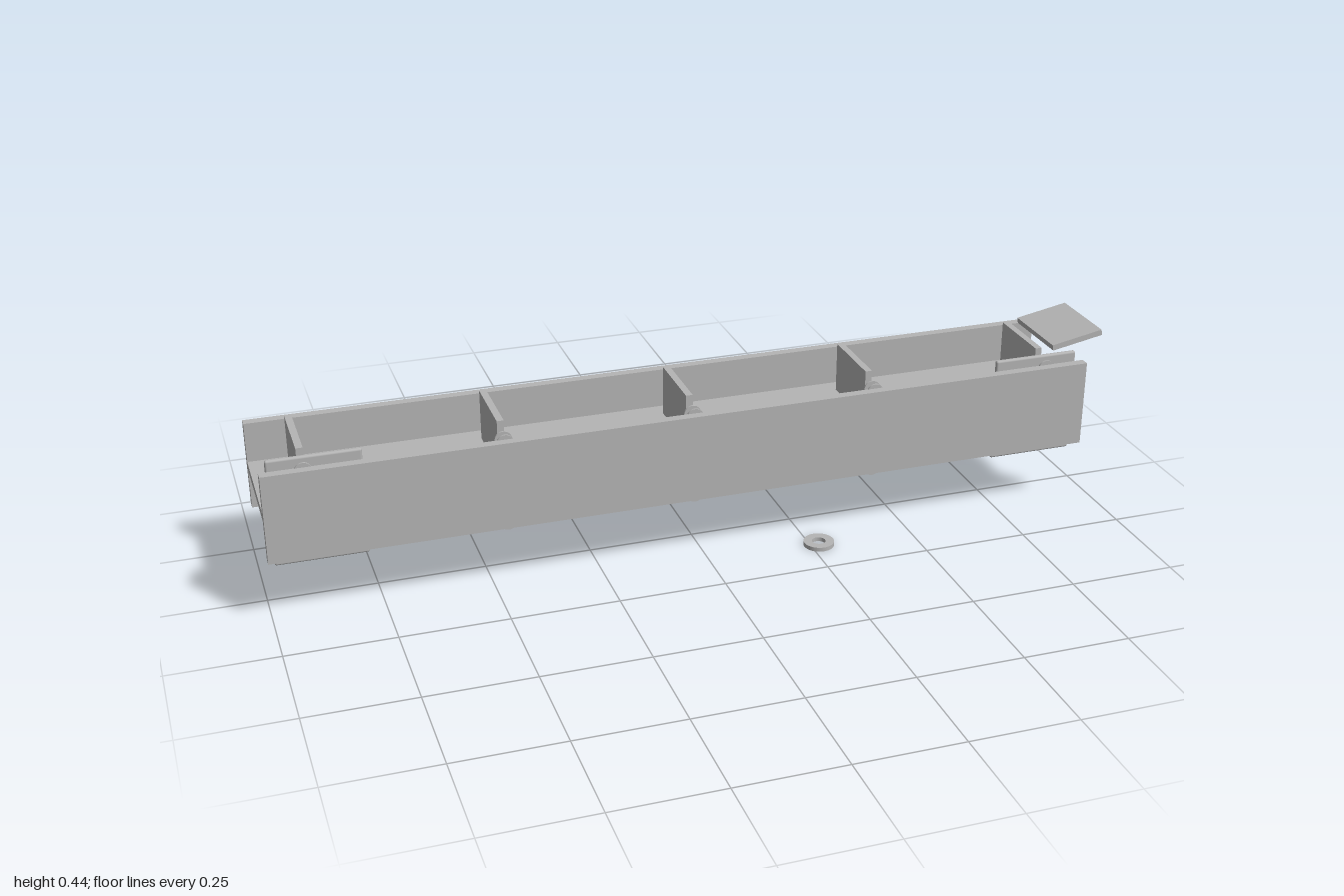
import * as THREE from 'three';
import { RoundedBoxGeometry } from 'three/addons/geometries/RoundedBoxGeometry.js';

export function createModel() {
  const model = new THREE.Group();
  model.name = 'steelBeam';
  const steel = new THREE.MeshStandardMaterial({ color: 0xb4b4b4 });
  steel.name = 'grey steel';

  const add = (name, geometry, x, y, z) => {
    const mesh = new THREE.Mesh(geometry, steel);
    mesh.name = name;
    mesh.position.set(x, y, z);
    model.add(mesh);
    return mesh;
  };
  const box = (name, w, h, d, x, y, z) => add(name, new THREE.BoxGeometry(w, h, d), x, y, z);

  // H-section beam lying on its side
  const midY = 0.2625, beamX = -0.024, beamL = 1.952;
  box('frontFlange', beamL, 0.209, 0.022, beamX, midY, 0.116);
  box('backFlange', beamL, 0.209, 0.022, beamX, midY, -0.166);
  box('web', beamL, 0.021, 0.26, beamX, midY, -0.025);

  // Stiffeners, each with a bolt above and below the web
  const disc = new THREE.CylinderGeometry(0.02, 0.02, 0.004, 24).rotateX(Math.PI / 2);
  const shank = new THREE.CylinderGeometry(0.01, 0.01, 0.022, 16).rotateX(Math.PI / 2);
  for (const x of [-0.905, -0.464, -0.025, 0.415, 0.855]) {
    box('stiffener', 0.016, 0.261, 0.175, x, midY, -0.025);
    for (const side of [-1, 1]) {
      const y = midY + side * 0.097 - 0.002;
      add('boltHead', disc, x, y, 0.085);
      add('boltWasher', disc, x, y, 0.104);
      add('boltShank', shank, x, y, 0.095);
    }
  }

  // Round-edged splice plates at both ends
  for (const x of [-0.88, 0.832]) {
    add('splicePlate', new RoundedBoxGeometry(0.208, 0.253, 0.012, 3, 0.005), x, midY, 0.0925);
  }

  // Loose tilted plate
  const plate = box('tiltedPlate', 0.13, 0.014, 0.185, 0.935, 0.419, 0.0095);
  plate.rotation.z = 0.185;

  // Loose washer on the ground
  const ring = new THREE.Shape().absarc(0, 0, 0.036, 0, Math.PI * 2);
  ring.holes.push(new THREE.Path().absarc(0, 0, 0.016, 0, Math.PI * 2, true));
  const washer = new THREE.ExtrudeGeometry(ring, { depth: 0.01, bevelEnabled: false, curveSegments: 32 });
  add('looseWasher', washer.rotateX(-Math.PI / 2), 0.27, 0, 0.142);

  return model;
}
